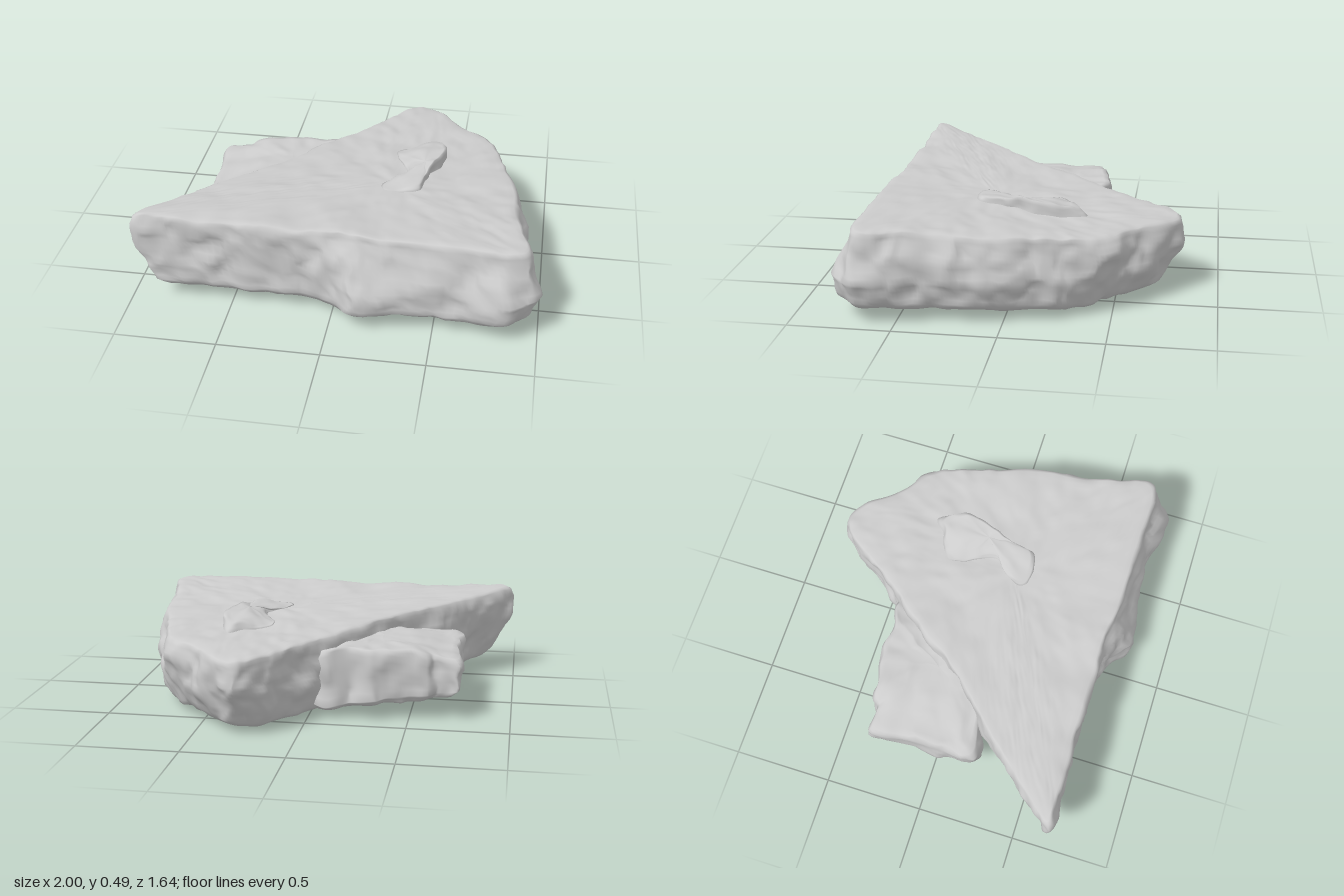
import * as THREE from 'three';

// Seeded value noise, about -1..1
const hash = (x, y, z) => {
  let h = (x * 374761393 + y * 668265263 + z * 1274126177) | 0;
  h = Math.imul(h ^ (h >>> 13), 1274126177);
  return ((h ^ (h >>> 16)) >>> 0) / 2147483648 - 1;
};
const ease = t => t * t * (3 - 2 * t);
const mix = THREE.MathUtils.lerp, step = THREE.MathUtils.smoothstep;
function noise(x, y, z) {
  const i = Math.floor(x), j = Math.floor(y), k = Math.floor(z);
  const u = ease(x - i), v = ease(y - j), w = ease(z - k);
  const edge = (b, c) => mix(hash(i, b, c), hash(i + 1, b, c), u);
  const side = c => mix(edge(j, c), edge(j + 1, c), v);
  return mix(side(k), side(k + 1), w);
}
const rough = (p, s) => [[6, 0.5], [12, 0.35], [22, 0.25]].reduce(
  (sum, [f, a]) => sum + a * noise(p.x * f + s, p.y * f, p.z * f), 0);

// Lofts a closed rock through layers, from the centre of its top to the centre of its underside.
// Each layer: shape(x, z) -> [x, z], scale about the centre, height(x, z), roughness, rows below it
function rock(name, outline, centre, layers) {
  const n = outline.length * 11;
  const curve = new THREE.CatmullRomCurve3(
    outline.map(([x, z]) => new THREE.Vector3(x, 0, z)), true, 'centripetal');
  const base = curve.getPoints(n).slice(0, n);
  const rings = layers.map(([shape, scale, height]) => base.map(p => {
    const [sx, sz] = shape(p.x, p.z);
    const x = mix(centre[0], sx, scale), z = mix(centre[1], sz, scale);
    return new THREE.Vector3(x, height(x, z), z);
  }));
  const pos = [], index = [];
  layers.forEach(([, , , amp, rows], l) => {
    const next = Math.min(l + 1, layers.length - 1);
    for (let s = 0; s < rows; s++) for (let i = 0; i < n; i++) {
      const p = rings[l][i].clone().lerp(rings[next][i], s / rows);
      const a = mix(amp, layers[next][3], s / rows), flat = a * Math.min(1, a / 0.03);
      pos.push(p.x + rough(p, 3) * flat, p.y + rough(p, 41) * Math.min(a, 0.02), p.z + rough(p, 87) * flat);
    }
  });
  for (let a = 0; a < pos.length / 3 - n; a++) {
    const b = a % n === n - 1 ? a + 1 - n : a + 1;
    index.push(a, b, a + n, b, b + n, a + n);
  }
  const geo = new THREE.BufferGeometry();
  geo.setAttribute('position', new THREE.Float32BufferAttribute(pos, 3));
  geo.setIndex(index);
  geo.computeVertexNormals();
  const mesh = new THREE.Mesh(geo, new THREE.MeshStandardMaterial({ color: 0xcccccc }));
  mesh.name = name;
  return mesh;
}

const same = (x, z) => [x, z];
const slabTop = (x, z) => 0.437 + 0.055 * z - 0.008 * x;

// Main triangular slab: bulges at mid height, tucks in underneath
function makeSlab() {
  const outline = [
    [-0.99, 0.67], [-0.9, 0.55], [-0.79, 0.43], [-0.66, 0.28], [-0.4, 0.02], [-0.2, -0.24], [-0.03, -0.46],
    [0.1, -0.64], [0.2, -0.78], [0.31, -0.82], [0.4, -0.75], [0.52, -0.6], [0.66, -0.48],
    [0.75, -0.3], [0.8, -0.1], [0.85, 0.1], [0.87, 0.3], [0.91, 0.5], [0.94, 0.67],
    [0.9, 0.71], [0.6, 0.7], [0.2, 0.7], [0, 0.68], [-0.2, 0.67], [-0.6, 0.67], [-0.85, 0.67]];
  const bump = (x, c) => Math.exp(-(((x - c) / 0.12) ** 2));
  const bulge = (x, z) => step(z, 0.45, 0.65) * (0.055 * step(x, -0.2, 0.1) * (1 - step(x, 0.8, 0.95))
    + 0.05 * bump(x, 0.13) + 0.03 * bump(x, 0.77));
  const squeeze = (right, left, back, out) => (x, z) =>
    [x * (x > 0 ? right : left), z * (z < 0 ? back : 1) + out * bulge(x, z)];
  const upper = squeeze(1.03, 0.99, 1, 0.4), mid = squeeze(1.05, 0.94, 0.95, 1);
  const low = squeeze(1.01, 0.87, 0.86, 1);
  const under = (x, z) => 0.045 + 0.03 * z + 0.02 * Math.abs(x);
  return rock('slab', outline, [0.25, 0.12], [
    [same, 0, slabTop, 0.015, 20],
    [same, 0.96, slabTop, 0.02, 2],
    [same, 0.99, (x, z) => slabTop(x, z) - 0.012, 0.025, 2],
    [same, 1, (x, z) => slabTop(x, z) - 0.05, 0.035, 3],
    [upper, 1, (x, z) => slabTop(x, z) - 0.12, 0.045, 4],
    [mid, 1, (x, z) => 0.21 + 0.02 * z, 0.045, 5],
    [low, 1, (x, z) => under(x, z) + 0.03, 0.035, 2],
    [low, 0.96, under, 0.025, 3],
    [low, 0.8, (x, z) => 0.032 + 0.025 * z, 0.02, 6],
    [low, 0.4, () => 0.026, 0.02, 6],
    [low, 0, () => 0.024, 0.02, 1]]);
}

// Lower block broken off along the slanting back edge
function makeBlock() {
  const outline = [
    [-0.74, -0.33], [-0.62, -0.335], [-0.58, -0.37], [-0.4, -0.4], [-0.3, -0.425], [-0.2, -0.4], [-0.08, -0.43],
    [0.02, -0.36], [0.05, -0.2], [-0.15, 0.02], [-0.45, 0.15], [-0.66, 0.23], [-0.735, 0.21], [-0.74, 0]];
  const top = (x, z) => Math.min(0.32 + 0.14 * (x + 0.74), slabTop(x, z) - 0.05 - 0.2 * Math.max(0, x + 0.15));
  const bottom = x => 0.13 - 0.13 * (x + 0.74);
  return rock('sideBlock', outline, [-0.35, -0.1], [
    [same, 0, top, 0.035, 12],
    [same, 0.94, top, 0.03, 2],
    [same, 0.99, (x, z) => top(x, z) - 0.03, 0.03, 6],
    [same, 0.97, x => bottom(x) + 0.03, 0.04, 3],
    [same, 0.88, bottom, 0.05, 10],
    [same, 0, x => bottom(x) - 0.01, 0.05, 1]]);
}

// Flaked ridge lying on the top face, steep on its right side
function makeRidge() {
  const outline = [
    [0.21, -0.22], [0.3, -0.28], [0.42, -0.35], [0.47, -0.25], [0.45, -0.1], [0.39, 0.04],
    [0.37, 0.18], [0.3, 0.21], [0.19, 0.2], [0.2, 0.1], [0.28, 0.02], [0.26, -0.08]];
  const crest = (x, z) => slabTop(x, z) + 0.004
    + 0.055 * step(x, 0.22, 0.42) * (1 - 0.5 * step(Math.abs(z + 0.12), 0.08, 0.25));
  return rock('topRidge', outline, [0.36, -0.05], [
    [same, 0, crest, 0.025, 7],
    [same, 0.88, crest, 0.025, 3],
    [same, 1, (x, z) => slabTop(x, z) + 0.002, 0.03, 2],
    [same, 1, (x, z) => slabTop(x, z) - 0.03, 0.01, 1],
    [same, 0, (x, z) => slabTop(x, z) - 0.03, 0.01, 1]]);
}

// Thin rough flakes clinging to the middle of the underside
function makeFlakes() {
  const outline = [
    [-0.1, -0.12], [0.08, -0.16], [0.2, -0.08], [0.36, -0.06], [0.52, 0.08],
    [0.46, 0.17], [0.3, 0.12], [0.2, 0.16], [0.06, 0.06], [-0.06, 0.05]];
  return rock('undersideFlakes', outline, [0.2, 0.03], [
    [same, 0, () => 0.06, 0.01, 1],
    [same, 1, () => 0.06, 0.01, 1],
    [same, 1, () => 0.024, 0.035, 2],
    [same, 0.9, () => 0.013, 0.03, 6],
    [same, 0, () => 0.011, 0.02, 1]]);
}

export function createModel() {
  const model = new THREE.Group();
  model.name = 'stoneSlab';
  model.add(makeSlab(), makeBlock(), makeRidge(), makeFlakes());
  // Rest the lowest point on the ground
  model.position.y = -new THREE.Box3().setFromObject(model, true).min.y;
  return model;
}
